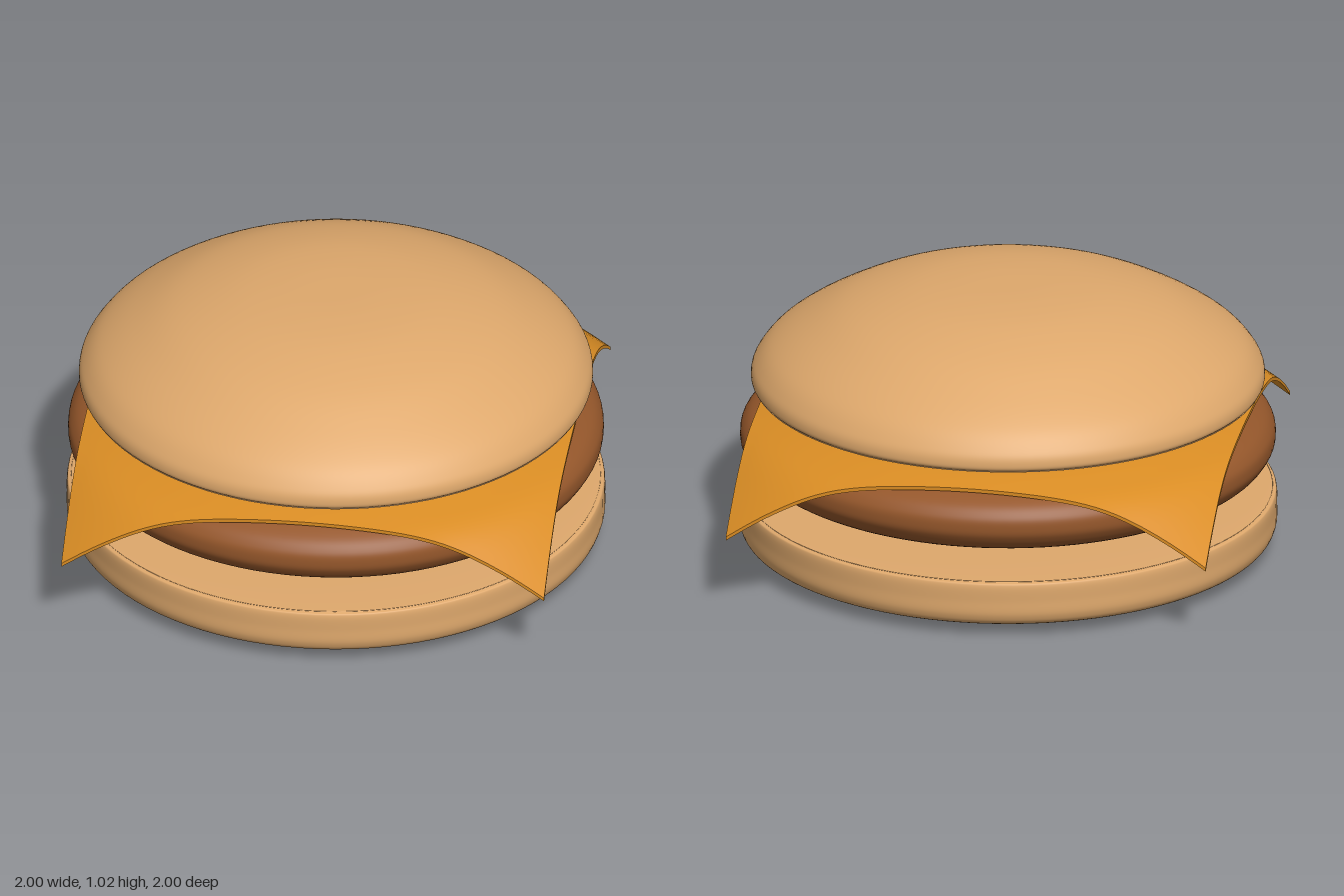
import * as THREE from 'three';

const v2 = (pts) => pts.map(([x, y]) => new THREE.Vector2(x, y));

// Solid of revolution through a smooth profile, listed from bottom centre to top centre
function round(name, color, pts) {
  const profile = new THREE.SplineCurve(v2(pts)).getPoints(72);
  profile.forEach((p) => { p.x = Math.max(p.x, 0); });
  profile[0].x = profile[profile.length - 1].x = 0;
  const mesh = new THREE.Mesh(
    new THREE.LatheGeometry(profile, 96),
    new THREE.MeshStandardMaterial({ color })
  );
  mesh.name = name;
  return mesh;
}

// Square slice draped over the patty: its height depends on the distance from the centre
function cheeseSlice() {
  const drape = [[0, 0.61], [0.4, 0.609], [0.6, 0.604], [0.78, 0.588], [0.9, 0.562],
    [1.0, 0.533], [1.08, 0.487], [1.18, 0.402], [1.285, 0.3]];
  const samples = new THREE.SplineCurve(v2(drape)).getPoints(200);
  const heightAt = (r) => {
    const i = Math.max(1, samples.findIndex((p) => p.x >= r));
    const a = samples[i - 1], b = samples[i];
    return THREE.MathUtils.mapLinear(r, a.x, b.x, a.y, b.y);
  };
  const thickness = 0.014;
  const geo = new THREE.BoxGeometry(1.81, thickness, 1.81, 48, 1, 48);
  const pos = geo.attributes.position;
  for (let i = 0; i < pos.count; i++) {
    const r = Math.hypot(pos.getX(i), pos.getZ(i));
    pos.setY(i, heightAt(r) + pos.getY(i) - thickness / 2);
  }
  geo.computeVertexNormals();
  const mesh = new THREE.Mesh(geo, new THREE.MeshStandardMaterial({ color: 0xda8d24 }));
  mesh.name = 'cheeseSlice';
  return mesh;
}

export function createModel() {
  const burger = new THREE.Group();
  burger.name = 'cheeseburger';
  const bun = 0xdea86c;

  // Bottom bun: rounded underside, straight rim, flat top
  burger.add(round('bottomBun', bun, [
    [0, 0.003], [0.4, 0.006], [0.7, 0.013], [0.88, 0.028], [0.97, 0.052], [0.998, 0.09],
    [1, 0.15], [0.999, 0.208], [0.985, 0.222], [0.93, 0.227], [0.5, 0.231], [0, 0.232],
  ]));

  // Patty: flattened disc with a bulging edge
  burger.add(round('patty', 0x95572b, [
    [0, 0.253], [0.4, 0.259], [0.65, 0.276], [0.83, 0.303], [0.94, 0.346], [0.985, 0.395],
    [0.995, 0.437], [0.985, 0.48], [0.94, 0.522], [0.83, 0.56], [0.65, 0.58], [0.4, 0.588], [0, 0.59],
  ]));

  burger.add(cheeseSlice());

  // Top bun: domed crown with a flat underside
  burger.add(round('topBun', bun, [
    [0, 0.64], [0.5, 0.641], [0.9, 0.645], [0.945, 0.651], [0.955, 0.675], [0.94, 0.72],
    [0.88, 0.79], [0.76, 0.87], [0.6, 0.948], [0.4, 1.002], [0.2, 1.024], [0, 1.028],
  ]));

  return burger;
}
